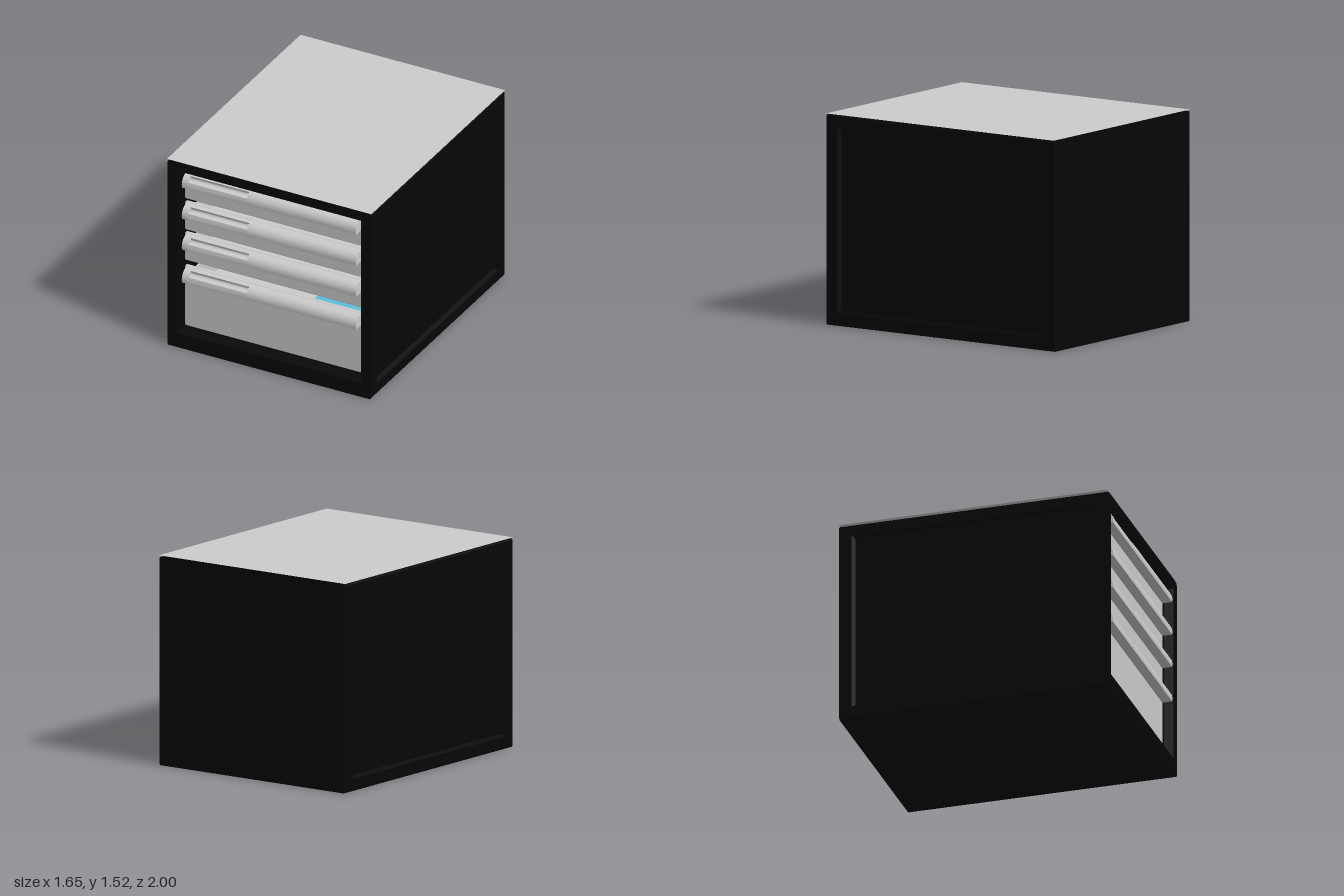
import * as THREE from 'three';
import { toCreasedNormals } from 'three/addons/utils/BufferGeometryUtils.js';
import { RoundedBoxGeometry } from 'three/addons/geometries/RoundedBoxGeometry.js';

const black = new THREE.MeshStandardMaterial({ color: 0x060606 });
const blackOpen = new THREE.MeshStandardMaterial({ color: 0x060606, side: THREE.DoubleSide });
const grey = new THREE.MeshStandardMaterial({ color: 0xcccccc });
const greyOpen = new THREE.MeshStandardMaterial({ color: 0xcccccc, side: THREE.DoubleSide });
const teal = new THREE.MeshStandardMaterial({ color: 0x5bbfd8 });

const BACK = -1, FRONT = 0.996, INNER = 0.722;

function add(parent, name, geometry, material, x = 0, y = 0, z = 0) {
  const mesh = new THREE.Mesh(geometry, material);
  mesh.name = name;
  mesh.position.set(x, y, z);
  parent.add(mesh);
  return mesh;
}

// box given by its limits
function slab(parent, name, material, x0, x1, y0, y1, z0, z1) {
  return add(parent, name, new THREE.BoxGeometry(x1 - x0, y1 - y0, z1 - z0), material,
    (x0 + x1) / 2, (y0 + y1) / 2, (z0 + z1) / 2);
}

// flat-faced surface through rectangles [halfWidth, y0, y1, z], facing +z
function rectLoft(loops, cap) {
  const corners = loops.map(([w, y0, y1, z]) =>
    [[-w, y0, z], [w, y0, z], [w, y1, z], [-w, y1, z]]);
  const pos = [];
  const quad = (a, b, c, d) => pos.push(...a, ...b, ...c, ...a, ...c, ...d);
  for (let i = 0; i + 1 < corners.length; i++) {
    for (let k = 0; k < 4; k++) {
      const n = (k + 1) % 4;
      quad(corners[i][k], corners[i][n], corners[i + 1][n], corners[i + 1][k]);
    }
  }
  if (cap) quad(...corners[corners.length - 1]);
  const g = new THREE.BufferGeometry();
  g.setAttribute('position', new THREE.Float32BufferAttribute(pos, 3));
  g.computeVertexNormals();
  return g;
}

// mirrored cabinet outline, optionally with a rectangular opening, extruded along z
function outline(half, hole, z0, z1) {
  const pts = [...half, ...half.map(([x, y]) => [-x, y]).reverse()];
  const shape = new THREE.Shape(pts.map(([x, y]) => new THREE.Vector2(x, y)));
  if (hole) {
    const [w, y0, y1] = hole;
    shape.holes.push(new THREE.Path([[-w, y0], [-w, y1], [w, y1], [w, y0]]
      .map(([x, y]) => new THREE.Vector2(x, y))));
  }
  const g = new THREE.ExtrudeGeometry(shape, { depth: z1 - z0, bevelEnabled: false });
  return g.translate(0, 0, z0);
}

// section in (z, y) swept across x from x0 to x1
function sweepX(shape, x0, x1) {
  const g = new THREE.ExtrudeGeometry(shape, { depth: x1 - x0, bevelEnabled: false, curveSegments: 14 });
  g.rotateY(-Math.PI / 2).translate(x1, 0, 0);
  return toCreasedNormals(g, 0.6);
}

// quarter-round grip, measured down from the drawer's top edge
function gripShape() {
  const s = new THREE.Shape();
  s.moveTo(0.915, -0.1);
  s.lineTo(0.998, -0.1);
  s.lineTo(1, -0.08);
  s.bezierCurveTo(1, -0.035, 0.97, -0.004, 0.915, -0.004);
  s.closePath();
  return s;
}

// the same grip with a concave label scoop
function scoopShape() {
  const s = new THREE.Shape();
  s.moveTo(0.915, -0.1);
  s.lineTo(0.998, -0.1);
  s.lineTo(1, -0.08);
  s.lineTo(0.992, -0.05);
  s.quadraticCurveTo(0.937, -0.046, 0.958, -0.013);
  s.lineTo(0.94, -0.006);
  s.lineTo(0.915, -0.004);
  s.closePath();
  return s;
}

function drawer(y0, y1) {
  const g = new THREE.Group();
  g.name = 'drawer';
  const face = new RoundedBoxGeometry(1.438, y1 - y0, 0.03, 2, 0.008);
  add(g, 'drawerFront', face, grey, 0, (y0 + y1) / 2, 0.91);
  add(g, 'handleEnd', sweepX(gripShape(), -0.703, -0.655), grey, 0, y1, 0);
  add(g, 'labelScoop', sweepX(scoopShape(), -0.655, -0.18), grey, 0, y1, 0);
  add(g, 'handle', sweepX(gripShape(), -0.18, 0.703), grey, 0, y1, 0);
  // open tray behind the front
  const top = y1 - 0.06;
  slab(g, 'drawerFloor', grey, -0.68, 0.68, y0 + 0.01, y0 + 0.025, -0.9, 0.9);
  slab(g, 'drawerBack', grey, -0.68, 0.68, y0 + 0.01, top, -0.915, -0.9);
  for (const s of [-1, 1]) {
    const x = s * 0.687;
    slab(g, 'drawerSide', grey, x - 0.007, x + 0.007, y0 + 0.01, top, -0.915, 0.9);
  }
  return g;
}

export function createModel() {
  const model = new THREE.Group();
  model.name = 'drawerCabinet';

  // carcass, front frame and back plate
  const edge = [[0.82, 1.502], [0.812, 1.51], [0.77, 1.52]];
  const full = [[0.812, 0], [0.82, 0.012], ...edge];
  const waisted = [[0.812, 0], [0.82, 0.012], [0.785, 0.014], [0.785, 1.5], ...edge];
  add(model, 'carcass', outline(waisted, [INNER, 0.146, 1.424], BACK + 0.03, 0.93), black);
  add(model, 'frontFrame', outline(full, [0.742, 0.115, 1.445], 0.93, FRONT), black);
  add(model, 'backPlate', outline(full, null, BACK, BACK + 0.03), black);
  add(model, 'frameBevel',
    rectLoft([[0.742, 0.115, 1.445, FRONT], [INNER, 0.146, 1.424, 0.93]]), blackOpen);

  // recessed side panels
  const halfDepth = (FRONT - BACK) / 2;
  for (const s of [-1, 1]) {
    const panel = rectLoft([
      [halfDepth, 0.012, 1.502, 0.82],
      [0.905, 0.09, 1.43, 0.82],
      [0.885, 0.11, 1.41, 0.793],
    ], true);
    const side = add(model, 'sidePanel', panel, black, 0, 0, (FRONT + BACK) / 2);
    side.rotation.y = s * Math.PI / 2;
  }

  // thin top sheet, slightly wider than the carcass
  const sheet = new THREE.PlaneGeometry(1.65, FRONT - BACK).rotateX(-Math.PI / 2);
  add(model, 'topSheet', sheet, greyOpen, 0, 1.521, (FRONT + BACK) / 2);

  // three shallow drawers and a deep one
  for (const [y0, y1] of [[1.19, 1.42], [0.935, 1.165], [0.685, 0.912], [0.15, 0.642]]) {
    model.add(drawer(y0, y1));
  }

  // contents of the deep drawer
  slab(model, 'greyFiles', grey, -0.55, 0.26, 0.18, 0.56, 0.2, 0.87);
  slab(model, 'tealFiles', teal, 0.28, 0.67, 0.18, 0.6, 0.2, 0.87);
  return model;
}
